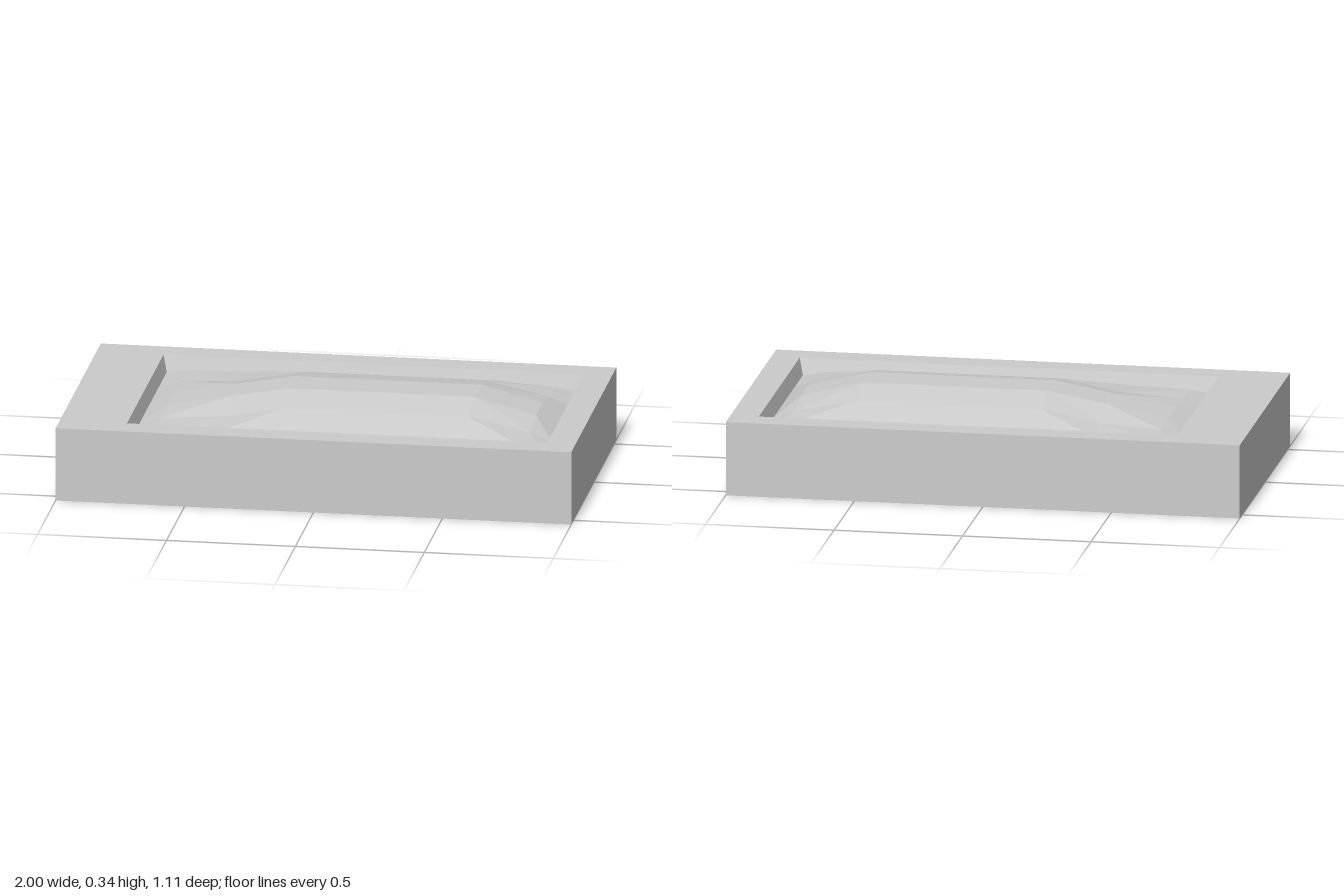
import * as THREE from 'three';

const material = new THREE.MeshStandardMaterial({ color: 0xcccccc, flatShading: true });

function makeMesh(name, positions, indices) {
  const indexed = new THREE.BufferGeometry();
  indexed.setAttribute('position', new THREE.Float32BufferAttribute(positions, 3));
  indexed.setIndex(indices);
  const geometry = indexed.toNonIndexed();
  geometry.computeVertexNormals();
  const mesh = new THREE.Mesh(geometry, material);
  mesh.name = name;
  return mesh;
}

// Slab with a sloped-wall recess: rectangular loops joined from the base up and over the rim
function createFrame() {
  const loops = [ // x min, x max, half depth, y
    [-1, 1, 0.555, 0],
    [-1, 1, 0.555, 0.29],
    [-0.74, 0.89, 0.45, 0.29],
    [-0.725, 0.875, 0.435, 0.225],
  ];
  const positions = [];
  for (const [x0, x1, d, y] of loops) positions.push(x0, y, d, x1, y, d, x1, y, -d, x0, y, -d);
  const indices = [0, 3, 2, 0, 2, 1]; // underside
  for (let k = 0; k < loops.length - 1; k++) {
    for (let i = 0; i < 4; i++) {
      const a = k * 4 + i, b = k * 4 + (i + 1) % 4;
      indices.push(a, b, b + 4, a, b + 4, a + 4);
    }
  }
  return makeMesh('recessedFrame', positions, indices);
}

// Faceted domed panel filling the recess, mirrored front to back
function createDome() {
  const xs = [-0.725, -0.64, -0.4, -0.17, 0.55, 0.79, 0.875];
  const halfRows = [ // z, then height at each x
    [0.08, 0.225, 0.258, 0.303, 0.345, 0.345, 0.283, 0.225],
    [0.235, 0.225, 0.252, 0.268, 0.312, 0.312, 0.262, 0.225],
    [0.395, 0.225, 0.248, 0.255, 0.265, 0.265, 0.25, 0.225],
    [0.435, 0.225, 0.225, 0.225, 0.225, 0.225, 0.225, 0.225],
  ];
  const mirrored = halfRows.map(([z, ...heights]) => [-z, ...heights]).reverse();
  const rows = [...mirrored, ...halfRows];
  const n = xs.length, positions = [], indices = [];

  rows.forEach(([z, ...heights], r) => {
    // end columns follow the recess edge; the bevel corners run into its corners
    heights.forEach((y, i) => positions.push(xs[i], y, z));
    if (r === 0) return;
    for (let i = 0; i < n - 1; i++) {
      const a = (r - 1) * n + i, b = a + 1, c = a + n, d = c + 1;
      // split each cell along the direction of the nearest corner
      const flip = (i < 3) === (r <= 4);
      if (flip) indices.push(a, c, d, a, d, b);
      else indices.push(a, c, b, b, c, d);
    }
  });
  return makeMesh('domedPanel', positions, indices);
}

export function createModel() {
  const model = new THREE.Group();
  model.name = 'framedPanel';
  model.add(createFrame(), createDome());
  return model;
}
